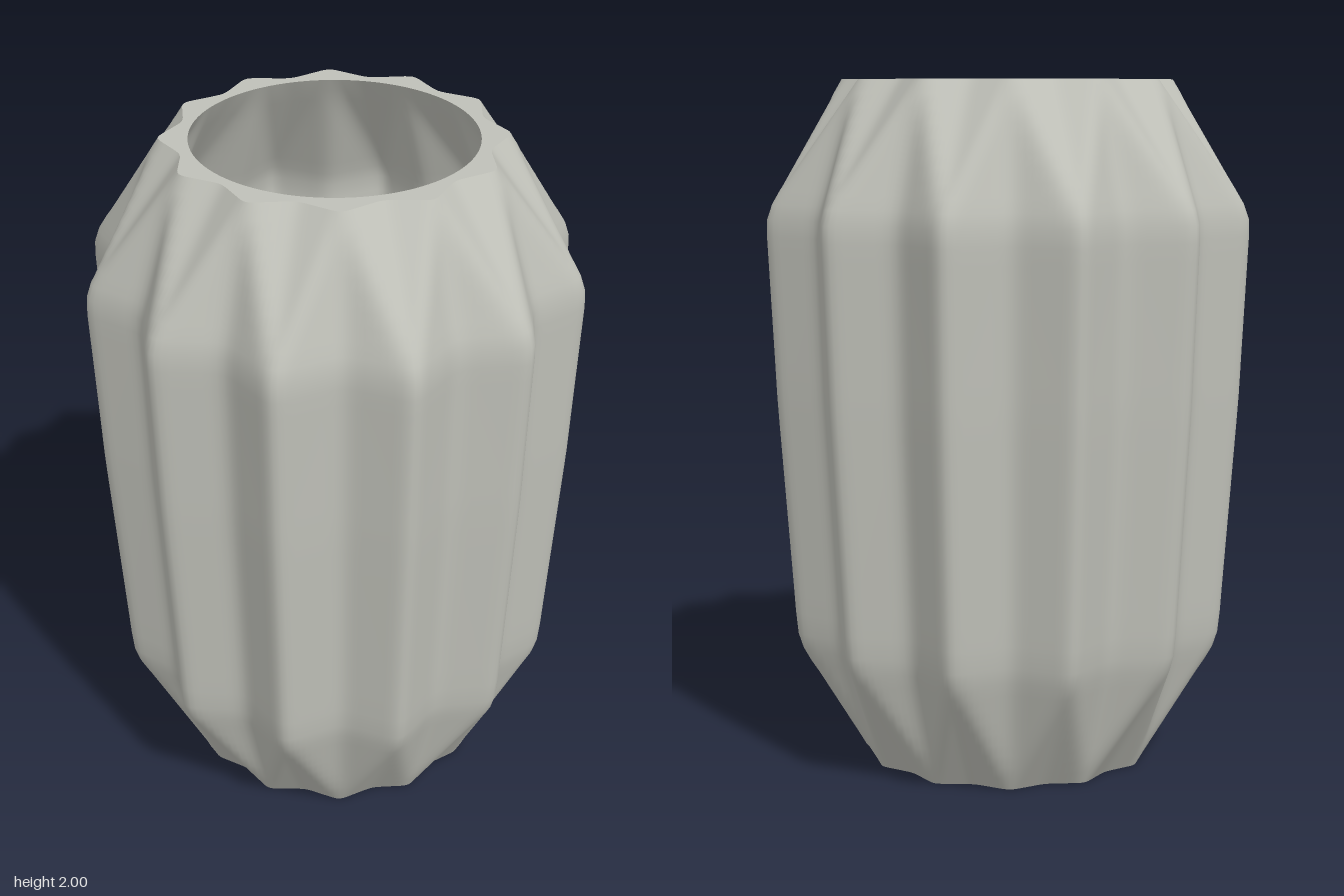
import * as THREE from 'three';

const RIBS = 12;      // star points around the vase
const SUB = 10;       // subdivisions of each facet
const COLS = RIBS * 2 * SUB;
const RIM_R = 0.4;    // radius of the round mouth

// Rows from bottom to top: [height, radius at ridges, radius at valleys]
const OUTER = [
  [0.0, 0.395, 0.435],
  [0.385, 0.652, 0.553],
  [1.1, 0.702, 0.595],
  [1.61, 0.726, 0.612],
  [2.0, 0.43, 0.488],
];
const INNER = [
  [0.04, 0.365, 0.415],
  [0.4, 0.605, 0.515],
  [1.1, 0.655, 0.555],
  [1.59, 0.675, 0.57],
  [2.0, RIM_R, RIM_R],
];

// Corner of the folded net: even columns are ridges, odd ones valleys
function corner(rows, i, j) {
  const [y, ridge, valley] = rows[j];
  const odd = Math.abs(i) % 2;
  const r = odd ? valley : ridge;
  const a = (i * Math.PI) / RIBS;
  return new THREE.Vector3(r * Math.sin(a), y, r * Math.cos(a));
}

// Point on the folded net; shoulder and foot facets split along a diagonal
function netPoint(rows, u, v) {
  const last = rows.length - 1;
  v = THREE.MathUtils.clamp(v, 0, last);
  const i = Math.floor(u), j = Math.min(Math.floor(v), last - 1);
  const odd = Math.abs(i) % 2;
  const ridge = odd ? i + 1 : i, valley = odd ? i : i + 1;
  const s = odd ? 1 - (u - i) : u - i; // 0 on the ridge, 1 in the valley
  // t runs from the bend (0) to the open end (1)
  const foot = j === 0;
  const t = foot ? 1 - (v - j) : v - j;
  const near = foot ? j + 1 : j, far = foot ? j : j + 1;
  const A = corner(rows, ridge, near), B = corner(rows, valley, near);
  const C = corner(rows, ridge, far), D = corner(rows, valley, far);
  const p = new THREE.Vector3();
  if (s > t) {
    return p.addScaledVector(A, 1 - s).addScaledVector(B, s - t).addScaledVector(D, t);
  }
  return p.addScaledVector(A, 1 - t).addScaledVector(C, t - s).addScaledVector(D, s);
}

// Average over a small patch, which rounds the folds
function softPoint(rows, u, v) {
  const p = new THREE.Vector3();
  const last = rows.length - 1;
  const ev = Math.min(0.06, v, last - v);
  for (const du of [-0.14, 0, 0.14]) {
    for (const dv of [-ev, 0, ev]) p.add(netPoint(rows, u + du, v + dv));
  }
  return p.divideScalar(9);
}

// Closed rings of points for one side of the wall
function makeRings(rows) {
  const rings = [];
  const count = (rows.length - 1) * SUB;
  for (let j = 0; j <= count; j++) {
    const ring = [];
    for (let i = 0; i < COLS; i++) ring.push(softPoint(rows, i / SUB, j / SUB));
    rings.push(ring);
  }
  return rings;
}

// Skin between successive rings
function skin(rings, flip) {
  const index = [];
  for (let j = 0; j < rings.length - 1; j++) {
    for (let i = 0; i < COLS; i++) {
      const k = (i + 1) % COLS;
      const a = j * COLS + i, b = j * COLS + k, c = a + COLS, d = b + COLS;
      if (flip) index.push(a, d, b, a, c, d);
      else index.push(a, b, d, a, d, c);
    }
  }
  const g = new THREE.BufferGeometry().setFromPoints(rings.flat());
  g.setIndex(index);
  g.computeVertexNormals();
  return g;
}

// Flat disc filling a ring
function disc(ring, up) {
  const index = [];
  for (let i = 0; i < COLS; i++) {
    const k = (i + 1) % COLS;
    if (up) index.push(COLS, i, k);
    else index.push(COLS, k, i);
  }
  const g = new THREE.BufferGeometry().setFromPoints([...ring, new THREE.Vector3(0, ring[0].y, 0)]);
  g.setIndex(index);
  g.computeVertexNormals();
  return g;
}

export function createModel() {
  const group = new THREE.Group();
  group.name = 'facetedVase';
  const ceramic = new THREE.MeshStandardMaterial({ color: 0xbfc0b8 });
  ceramic.name = 'paleGreyCeramic';

  const outer = makeRings(OUTER);
  const inner = makeRings(INNER);
  const outerTop = outer[outer.length - 1];
  const innerTop = inner[inner.length - 1];
  // True circle at the mouth
  innerTop.forEach((p) => {
    const k = RIM_R / Math.hypot(p.x, p.z);
    p.x *= k;
    p.z *= k;
  });

  const add = (name, geometry) => {
    const mesh = new THREE.Mesh(geometry, ceramic);
    mesh.name = name;
    group.add(mesh);
  };
  add('outerWall', skin(outer, false));
  add('innerWall', skin(inner, true));
  add('rim', skin([outerTop, innerTop], false));
  add('innerFloor', disc(inner[0], true));
  add('base', disc(outer[0], false));
  return group;
}
